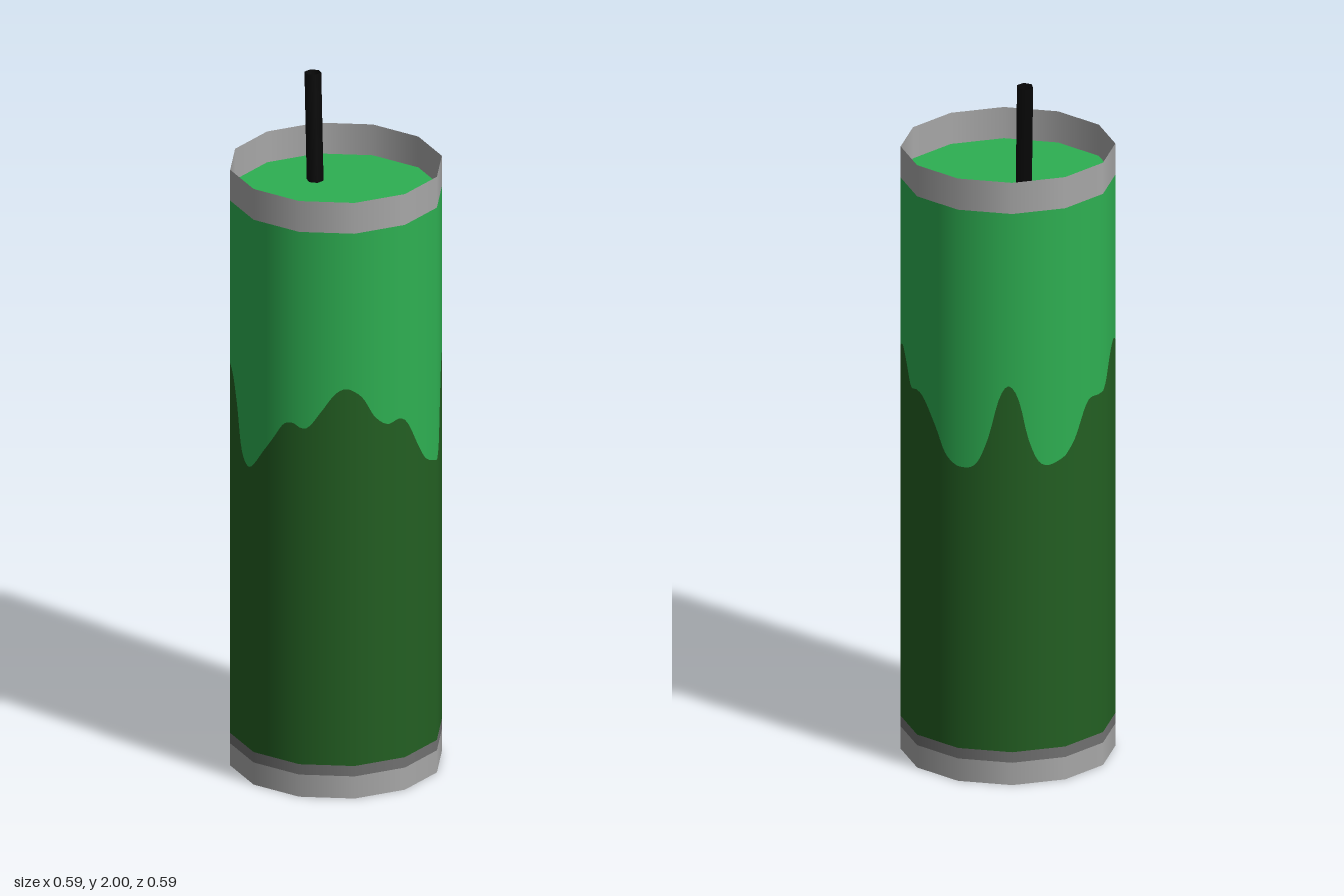
import * as THREE from 'three';

const R = 0.2965, SIDES = 12, STEP = Math.PI * 2 / SIDES, START = -0.102;
const TAU = Math.PI * 2;

// Wavy colour border: [degrees around from the front, height]
const WAVE = [
  [0, 1.0], [7, 1.05], [14, 1.1], [20, 1.11], [28, 1.1], [36, 1.15], [44, 1.205], [51, 1.22],
  [59, 1.19], [66, 1.13], [74, 1.1], [82, 1.11], [88, 1.08], [95, 1.02], [103, 0.96], [111, 0.937],
  [119, 0.935], [126, 0.965], [132, 1.06], [138, 1.15], [147, 1.2], [154, 1.165], [163, 1.105],
  [176, 1.11], [187, 1.03], [195, 0.955], [205, 0.928], [214, 0.94], [221, 1.02], [227, 1.135],
  [232.5, 1.176], [238, 1.13], [243, 1.02], [249.5, 0.945], [258, 0.937], [271, 0.99], [282, 1.09],
  [292, 1.1], [301, 1.12], [311, 1.18], [320, 1.21], [327, 1.18], [333, 1.09], [338, 0.98],
  [345, 0.938], [353, 0.95],
];

function waveHeight(angle) {
  const n = WAVE.length;
  const deg = (THREE.MathUtils.radToDeg(angle) % 360 + 360) % 360;
  const key = (i) => {
    const turn = Math.floor(i / n);
    const [d, h] = WAVE[i - turn * n];
    return [d + turn * 360, h];
  };
  let i = n - 1;
  while (WAVE[i][0] > deg) i--;
  const [p, a, b, q] = [key(i - 1), key(i), key(i + 1), key(i + 2)];
  const w = b[0] - a[0], t = (deg - a[0]) / w;
  const ma = (b[1] - p[1]) / (b[0] - p[0]) * w;
  const mb = (q[1] - a[1]) / (q[0] - a[0]) * w;
  const t2 = t * t, t3 = t2 * t;
  return (2 * t3 - 3 * t2 + 1) * a[1] + (t3 - 2 * t2 + t) * ma
    + (3 * t2 - 2 * t3) * b[1] + (t3 - t2) * mb;
}

// Twelve-sided wall band with smooth normals; low and high are heights by angle
function wallBand(low, high, cutsPerSide) {
  const pos = [], nor = [], idx = [];
  const total = SIDES * cutsPerSide;
  for (let i = 0; i <= total; i++) {
    const a = START + i / total * TAU;
    const off = (i % cutsPerSide) / cutsPerSide * STEP - STEP / 2;
    const r = R * Math.cos(STEP / 2) / Math.cos(off);
    const s = Math.sin(a), c = Math.cos(a);
    pos.push(r * s, low(a), r * c, r * s, high(a), r * c);
    nor.push(s, 0, c, s, 0, c);
    if (i < total) {
      const k = i * 2;
      idx.push(k, k + 2, k + 1, k + 1, k + 2, k + 3);
    }
  }
  const g = new THREE.BufferGeometry();
  g.setAttribute('position', new THREE.Float32BufferAttribute(pos, 3));
  g.setAttribute('normal', new THREE.Float32BufferAttribute(nor, 3));
  g.setIndex(idx);
  return g;
}

export function createModel() {
  const group = new THREE.Group();
  const material = (name, color) => {
    const m = new THREE.MeshStandardMaterial({ color, side: THREE.DoubleSide });
    m.name = name;
    return m;
  };
  const green = material('bright green', 0x2eb052);
  const darkGreen = material('dark green', 0x235f22);
  const grey = material('light grey', 0xa8a8a8);
  const darkGrey = material('dark grey', 0x717171);
  const black = material('black', 0x080808);

  const add = (name, geometry, mat) => {
    const mesh = new THREE.Mesh(geometry, mat);
    mesh.name = name;
    group.add(mesh);
    return mesh;
  };
  const at = (y) => () => y;

  // Tube wall, from the foot up
  add('bottomRim', wallBand(at(0), at(0.066), 1), grey);
  add('bottomRimEdge', wallBand(at(0.066), at(0.097), 1), darkGrey);
  add('lowerBody', wallBand(at(0.097), waveHeight, 16), darkGreen);
  add('upperBody', wallBand(waveHeight, at(1.685), 16), green);
  add('topRim', wallBand(at(1.685), at(1.777), 1), grey);

  // Lid sunk inside the top rim
  const lid = new THREE.CircleGeometry(R, SIDES, START - Math.PI / 2);
  lid.rotateX(-Math.PI / 2);
  add('lid', lid, green).position.y = 1.685;

  // Leaning hollow fuse running down through the tube
  const foot = new THREE.Vector3(-0.016, 0.08, 0.02);
  const tip = new THREE.Vector3(-0.13, 1.998, -0.042);
  const axis = tip.clone().sub(foot);
  const fuse = add('fuse', new THREE.CylinderGeometry(0.024, 0.024, axis.length(), 6, 1, true), black);
  fuse.position.copy(foot).add(tip).multiplyScalar(0.5);
  fuse.quaternion.setFromUnitVectors(new THREE.Vector3(0, 1, 0), axis.normalize());

  return group;
}
